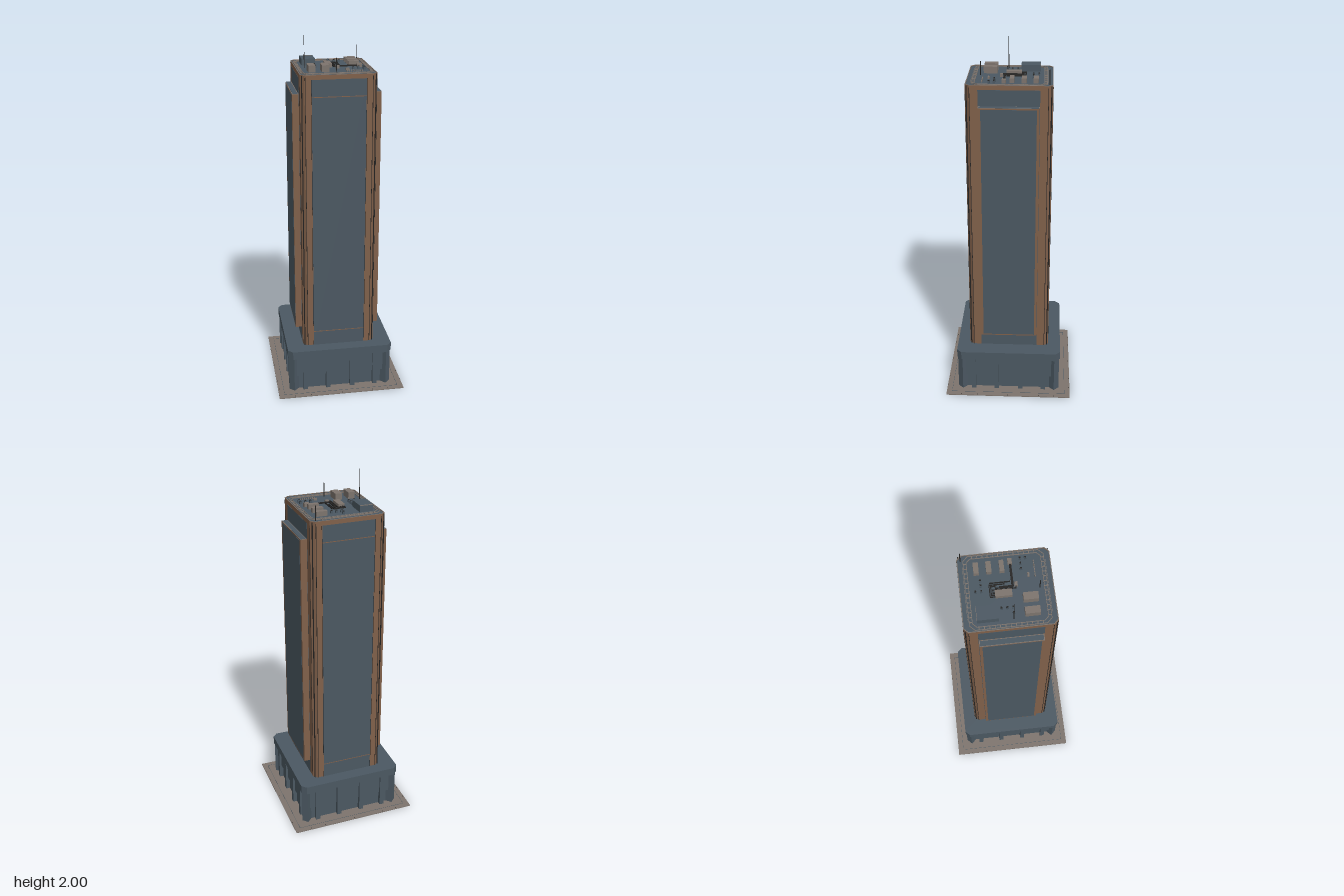
import * as THREE from 'three';

const mat = (name, color) => {
  const m = new THREE.MeshStandardMaterial({ color });
  m.name = name;
  return m;
};

export function createModel() {
  const glass = mat('blueGreyGlass', 0x4b5862);
  const bronze = mat('bronzeCladding', 0x80604a);
  const stone = mat('paleStone', 0x7d746d);
  const dark = mat('darkMetal', 0x262524);
  const model = new THREE.Group();
  model.name = 'officeTower';

  const group = (name) => {
    const g = new THREE.Group();
    g.name = name;
    model.add(g);
    return g;
  };
  const add = (parent, name, geometry, material) => {
    const mesh = new THREE.Mesh(geometry, material);
    mesh.name = name;
    parent.add(mesh);
    return mesh;
  };
  // Box given by its limits on each axis
  const box = (parent, name, material, x0, x1, y0, y1, z0, z1) => {
    const mesh = add(parent, name, new THREE.BoxGeometry(x1 - x0, y1 - y0, z1 - z0), material);
    mesh.position.set((x0 + x1) / 2, (y0 + y1) / 2, (z0 + z1) / 2);
    return mesh;
  };
  // Rectangle with cut corners
  const octagon = (x, z, c) => [
    [x, z - c], [x - c, z], [c - x, z], [-x, z - c],
    [-x, c - z], [c - x, -z], [x - c, -z], [x, c - z],
  ].map(([a, b]) => new THREE.Vector2(a, b));
  // Upright prism; a rim width makes it a hollow ring
  const prism = (parent, name, material, x, z, c, y0, y1, rim = 0) => {
    const shape = new THREE.Shape(octagon(x, z, c));
    if (rim) shape.holes.push(new THREE.Path(octagon(x - rim, z - rim, Math.max(c - rim * 0.5, 0.001))));
    const geo = new THREE.ExtrudeGeometry(shape, { depth: y1 - y0, bevelEnabled: false });
    geo.rotateX(-Math.PI / 2).translate(0, y0, 0);
    return add(parent, name, geo, material);
  };
  const rod = (parent, name, x, z, y0, y1, r) => {
    const mesh = add(parent, name, new THREE.CylinderGeometry(r, r, y1 - y0, 6), dark);
    mesh.position.set(x, (y0 + y1) / 2, z);
  };

  // Plaza slab with a joint line and small edge posts
  const plaza = group('plaza');
  box(plaza, 'slab', stone, -0.362, 0.362, 0, 0.005, -0.362, 0.362);
  prism(plaza, 'pavingJoint', glass, 0.331, 0.331, 0.001, 0.005, 0.006, 0.0015);
  for (const s of [-1, 1]) for (const p of [-0.27, -0.18, 0, 0.18, 0.27]) {
    rod(plaza, 'edgePost', p, s * 0.357, 0.005, 0.01, 0.0015);
    rod(plaza, 'edgePost', s * 0.357, p, 0.005, 0.01, 0.0015);
  }

  // Podium: recessed ground floor, upper wall, pilasters and cap
  const podium = group('podium');
  prism(podium, 'groundFloor', glass, 0.268, 0.268, 0.02, 0.005, 0.09, 0);
  prism(podium, 'upperWall', glass, 0.279, 0.279, 0.022, 0.09, 0.212);
  prism(podium, 'podiumCap', glass, 0.3, 0.3, 0.026, 0.212, 0.259);
  for (let i = 0; i < 4; i++) {
    const side = new THREE.Group();
    side.name = 'pilasterRow';
    side.rotation.y = i * Math.PI / 2;
    podium.add(side);
    for (const x of [-0.204, -0.07, 0.07, 0.204]) {
      box(side, 'pilaster', glass, x - 0.013, x + 0.013, 0.005, 0.212, 0.255, 0.291);
    }
    const corner = box(side, 'cornerPilaster', glass, -0.02, 0.02, 0.005, 0.212, 0.34, 0.388);
    corner.position.set(0.265, 0.1085, 0.265);
    corner.rotation.y = Math.PI / 4;
  }

  // Tower shaft
  const X = 0.204, Z = 0.229, C = 0.022, Y0 = 0.259, Y1 = 1.826;
  const tower = group('tower');
  prism(tower, 'shaft', bronze, X, Z, C, Y0, Y1 - 0.004);
  prism(tower, 'roofEdge', bronze, X, Z, C, Y1 - 0.004, Y1, 0.004);
  prism(tower, 'parapetTop', stone, X, Z, C, Y1, Y1 + 0.001, 0.004);
  prism(tower, 'roofDeck', glass, X - 0.004, Z - 0.004, C, Y1 - 0.004, Y1 - 0.002);
  for (const s of [-1, 1]) {
    const fz = s * Z, fx = s * X;
    box(tower, 'frontGlass', glass, -0.145, 0.145, Y0, 1.802, fz - 0.001, fz + 0.001);
    box(tower, 'sideGlass', glass, fx - 0.001, fx + 0.001, Y0, 1.802, -0.162, 0.162);
    for (const y of [0.345, 1.71]) {
      box(tower, 'floorBand', bronze, -0.145, 0.145, y - 0.002, y + 0.002, fz - 0.002, fz + 0.002);
    }
    for (const t of [-1, 1]) {
      box(tower, 'frontReveal', dark, t * 0.147 - 0.001, t * 0.147 + 0.001, Y0, 1.802, fz - 0.001, fz + 0.001);
      box(tower, 'cornerReveal', dark, t * 0.179 - 0.0015, t * 0.179 + 0.0015, Y0, 1.815, fz - 0.001, fz + 0.001);
      box(tower, 'sideReveal', dark, fx - 0.001, fx + 0.001, Y0, 1.815, t * 0.205 - 0.0015, t * 0.205 + 0.0015);
      rod(tower, 'cornerRod', t * 0.196, s * 0.221, Y0, Y1 - 0.003, 0.003);
    }

    // Projecting side bay, built for +x and turned for -x
    const bay = new THREE.Group();
    bay.name = 'sideBay';
    bay.rotation.y = s > 0 ? 0 : Math.PI;
    tower.add(bay);
    box(bay, 'bayBody', bronze, 0.2, 0.24, 0.345, 1.715, -0.16, 0.16);
    box(bay, 'bayGlass', glass, 0.239, 0.241, 0.352, 1.708, -0.146, 0.146);
    box(bay, 'bayTopRim', stone, 0.206, 0.24, 1.715, 1.716, -0.16, 0.16);
    box(bay, 'bayTop', glass, 0.2095, 0.2365, 1.716, 1.717, -0.156, 0.156);
  }

  // Roof walkway: two rails joined by cross plates
  const roof = group('roof');
  const R = Y1 - 0.002;
  prism(roof, 'outerRail', stone, 0.196, 0.199, 0.025, R, R + 0.004, 0.003);
  prism(roof, 'innerRail', stone, 0.181, 0.184, 0.02, R, R + 0.004, 0.003);
  for (const s of [-1, 1]) {
    for (let i = -6; i <= 6; i++) {
      const p = i * 0.0255;
      box(roof, 'crossPlate', stone, p - 0.002, p + 0.002, R, R + 0.004, s * 0.19 - 0.007, s * 0.19 + 0.007);
      box(roof, 'crossPlate', stone, s * 0.187 - 0.007, s * 0.187 + 0.007, R, R + 0.004, p - 0.002, p + 0.002);
    }
    box(roof, 'edgeBar', stone, -0.138, 0.138, R, R + 0.003, s * 0.203 - 0.001, s * 0.203 + 0.001);
  }

  // Roof plant: x0, x1, z0, z1, height
  const plant = group('roofPlant');
  [
    [-0.15, -0.113, 0.072, 0.146, 0.036], [-0.078, -0.039, 0.072, 0.146, 0.036],
    [-0.041, -0.006, -0.06, 0.023, 0.022],
    [0.089, 0.148, -0.152, -0.126, 0.026], [0.089, 0.148, -0.09, -0.064, 0.026],
    [0.089, 0.148, -0.025, -0.002, 0.026],
    [0.128, 0.156, 0.018, 0.039, 0.02], [0.01, 0.031, 0.039, 0.054, 0.016],
    [0.054, 0.074, 0.107, 0.117, 0.012],
  ].forEach(([a, b, c, d, h]) => box(plant, 'plantUnit', stone, a, b, R, R + h, c, d));
  box(plant, 'stairHouse', glass, -0.16, -0.086, R, R + 0.036, -0.16, -0.055);
  box(plant, 'stairHouseTrim', stone, -0.16, -0.086, R + 0.033, R + 0.037, -0.161, -0.159);
  [
    [0, -0.152], [0, -0.124], [0.029, -0.124], [0.056, -0.124], [-0.097, -0.037], [-0.097, -0.008],
    [-0.097, 0.02], [-0.125, 0.02], [0.1, 0.08], [0.128, 0.08], [0.156, 0.08], [0.156, 0.107],
  ].forEach(([x, z]) => {
    box(plant, 'vent', glass, x - 0.006, x + 0.006, R, R + 0.014, z - 0.006, z + 0.006);
    box(plant, 'ventCap', dark, x - 0.004, x + 0.004, R + 0.014, R + 0.016, z - 0.004, z + 0.004);
  });
  for (let i = 0; i < 8; i++) {
    const x = 0.056 + i * 0.0115;
    box(plant, 'smallVent', stone, x - 0.003, x + 0.003, R, R + 0.008, 0.142, 0.147);
  }

  // Duct runs
  [
    [[-0.036, -0.06], [-0.036, -0.084], [0.027, -0.084], [0.027, -0.01], [0.037, -0.01]],
    [[-0.027, -0.06], [-0.027, -0.077], [0.019, -0.077], [0.019, -0.055], [0.008, -0.055], [0.008, 0.026], [0.128, 0.03]],
    [[-0.017, -0.06], [-0.017, -0.069], [0, -0.069], [0, 0.045], [0.01, 0.045]],
    [[0.037, -0.08], [0.037, 0.018]],
    [[0.014, -0.035], [0.014, 0.033], [0.128, 0.033]],
  ].forEach((path) => {
    for (let i = 1; i < path.length; i++) {
      const [a, b] = path[i - 1], [c, d] = path[i];
      const w = 0.0022;
      box(plant, 'duct', dark, Math.min(a, c) - w, Math.max(a, c) + w, R + 0.006, R + 0.012,
        Math.min(b, d) - w, Math.max(b, d) + w);
    }
  });

  // Masts
  const masts = group('masts');
  rod(masts, 'tallAntenna', -0.155, 0.016, R, 2, 0.0012);
  rod(masts, 'antennaBase', -0.155, 0.016, R, 1.9, 0.0022);
  rod(masts, 'cornerMast', 0.174, -0.21, R, 1.905, 0.0025);
  rod(masts, 'frontMast', -0.005, 0.16, R, 1.9, 0.0025);
  return model;
}
